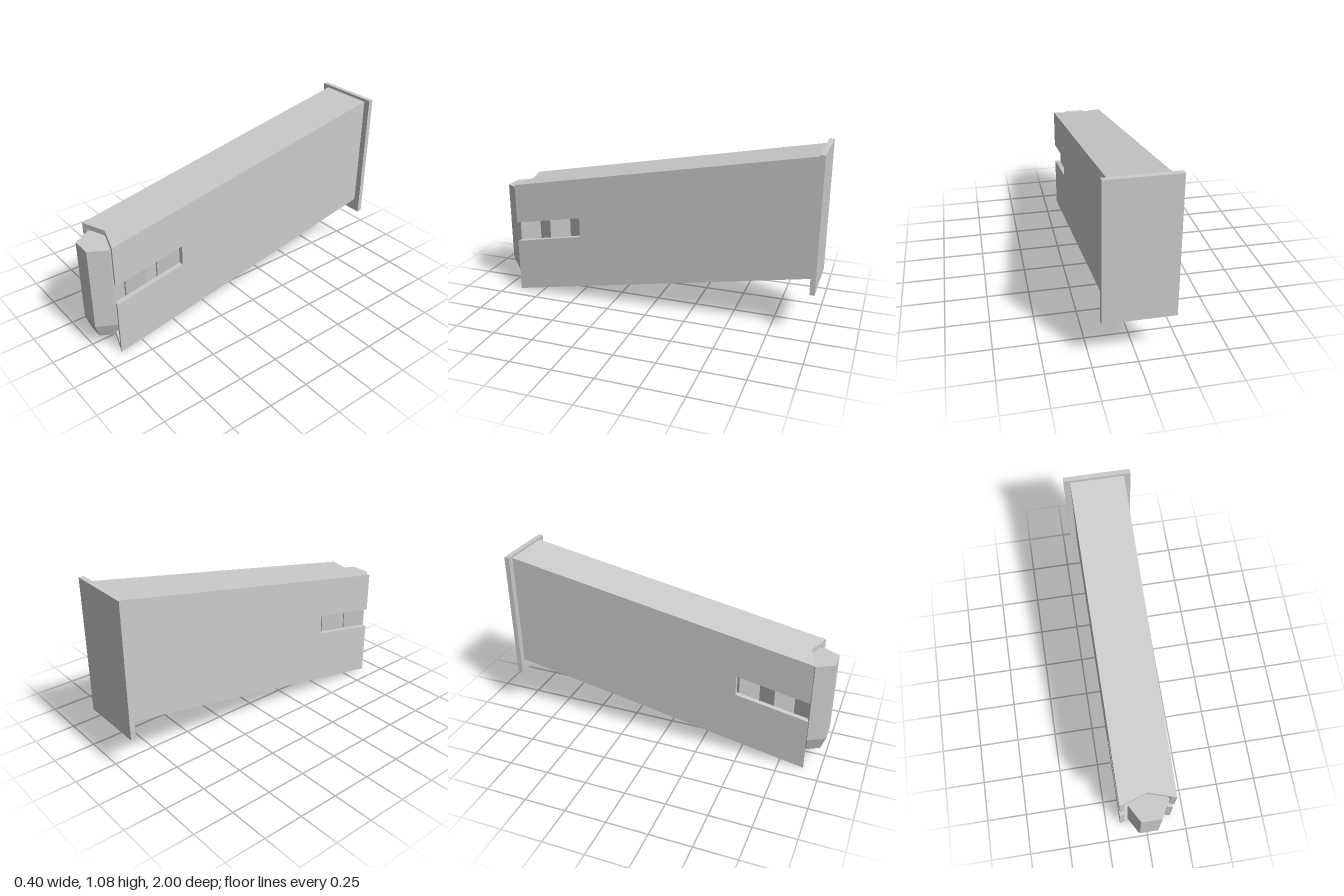
import * as THREE from 'three';

const material = new THREE.MeshStandardMaterial({ color: 0xcccccc, flatShading: true });
const HALF = 0.162, WALL = 0.031, HEIGHT = 0.71;
const FRONT = 0.9, BACK = -0.97, NOTCH = 0.05, SLOPE = 0.188;

function add(parent, name, geometry) {
  const mesh = new THREE.Mesh(geometry, material);
  mesh.name = name;
  parent.add(mesh);
  return mesh;
}

// Cuts the shallow V into the front edge, then slants the casing upward to the back
function slant(geometry) {
  const p = geometry.attributes.position;
  for (let i = 0; i < p.count; i++) {
    let z = p.getZ(i);
    if (z > FRONT - 0.001) z -= NOTCH * (1 - Math.abs(p.getX(i)) / HALF);
    p.setZ(i, z);
    p.setY(i, p.getY(i) + (FRONT - z) * SLOPE);
  }
  geometry.computeVertexNormals();
  return geometry;
}

// Side wall with a slot open to the front
function sideWall(outerX) {
  const shape = new THREE.Shape([
    [BACK, 0], [FRONT, 0], [FRONT, 0.335], [0.46, 0.335],
    [0.46, 0.46], [FRONT, 0.46], [FRONT, HEIGHT], [BACK, HEIGHT],
  ].map(([z, y]) => new THREE.Vector2(z, y)));
  const g = new THREE.ExtrudeGeometry(shape, { depth: WALL, bevelEnabled: false });
  g.rotateY(-Math.PI / 2).translate(outerX, 0, 0);
  return slant(g);
}

// Floor or roof strip between the side walls
function strip(y) {
  const g = new THREE.BoxGeometry(2 * (HALF - WALL), WALL, FRONT - BACK, 2, 1, 1);
  g.translate(0, y, (FRONT + BACK) / 2);
  return slant(g);
}

export function createModel() {
  const model = new THREE.Group();
  model.name = 'magazine';

  // Hollow slanted casing
  const casing = new THREE.Group();
  casing.name = 'casing';
  add(casing, 'leftWall', sideWall(HALF));
  add(casing, 'rightWall', sideWall(-HALF + WALL));
  add(casing, 'floor', strip(WALL / 2));
  add(casing, 'roof', strip(HEIGHT - WALL / 2));
  model.add(casing);

  // Base plate closing the back end
  add(model, 'basePlate', new THREE.BoxGeometry(0.402, 0.81, 0.03))
    .position.set(0, 0.674, -0.985);

  // Row of six-sided cartridges following the slope
  const profile = [[0, 0.033], [0.085, 0.08], [0.119, 0.17], [0.119, 0.676], [0, 0.676]]
    .map(([r, y]) => new THREE.Vector2(r, y));
  const round = new THREE.LatheGeometry(profile, 6, Math.PI / 2);
  const row = new THREE.Group();
  row.name = 'cartridges';
  for (let i = 0; i < 9; i++) {
    const dz = i * 0.214;
    add(row, 'cartridge' + (i + 1), round).position.set(0.004, dz * SLOPE, 0.897 - dz);
  }
  model.add(row);

  return model;
}
